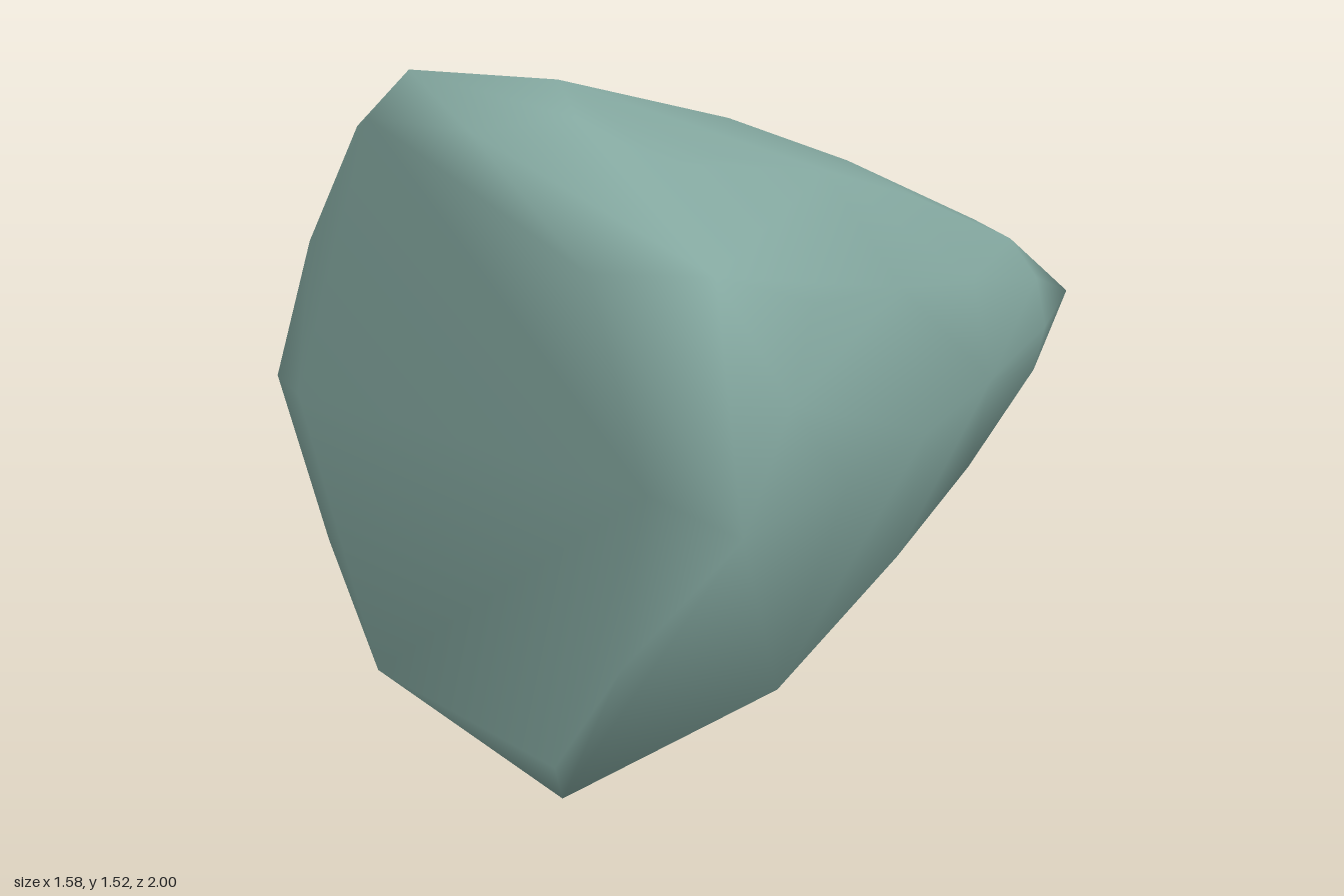
import * as THREE from 'three';
import { ConvexGeometry } from 'three/addons/geometries/ConvexGeometry.js';
import { mergeVertices } from 'three/addons/utils/BufferGeometryUtils.js';

export function createModel() {
  const model = new THREE.Group();
  model.name = 'taperedRock';
  const stone = new THREE.MeshStandardMaterial({ color: 0x84a8a0 });
  stone.name = 'greyGreenStone';
  const points = [];
  const add = (x, y, z) => points.push(new THREE.Vector3(x, y, z));

  // Uneven widest rim
  [
    [-0.15, 1.525, 0.96], [0.07, 1.505, 0.75], [0.25, 1.455, 0.85], [0.43, 1.38, 0.78],
    [0.64, 1.2, 0.85], [0.74, 0.95, 0.75], [0.79, 0.74, 0.93], [0.65, 0.32, 0.7],
    [0.31, 0.06, 0.99], [-0.01, 0, 0.68], [-0.42, 0.095, 0.85], [-0.68, 0.4, 0.85],
    [-0.79, 0.74, 0.93], [-0.69, 1.02, 0.8], [-0.44, 1.37, 0.9],
  ].forEach((p) => add(...p));

  // Flat front end
  [
    [-0.59, 0.75], [-0.5, 0.42], [-0.33, 0.15], [0.3, 0.13], [0.52, 0.42],
    [0.6, 0.8], [0.45, 1.2], [0.1, 1.43], [-0.25, 1.42], [-0.5, 1.12],
  ].forEach(([x, y]) => add(x, y, 1));

  // Tapering body rings: z, centre x, centre y, half width, half height
  [
    [0.57, 0, 0.744, 0.722, 0.71],
    [0.2, 0, 0.743, 0.61, 0.615],
    [-0.2, 0, 0.75, 0.463, 0.46],
    [-0.68, 0.01, 0.75, 0.243, 0.245],
  ].forEach(([z, cx, cy, rx, ry]) => {
    for (let i = 0; i < 12; i++) {
      const a = (i / 12) * Math.PI * 2;
      add(cx + rx * Math.cos(a), cy + ry * Math.sin(a), z);
    }
  });

  // Blunt underside of the nose, and the tip
  add(0.04, 0.555, -0.8);
  add(0.08, 0.76, -1);

  // Convex skin with shared, smooth normals
  const hull = new ConvexGeometry(points);
  hull.deleteAttribute('normal');
  const skin = mergeVertices(hull, 1e-4);
  skin.computeVertexNormals();
  const rock = new THREE.Mesh(skin, stone);
  rock.name = 'rockBody';
  model.add(rock);
  return model;
}
